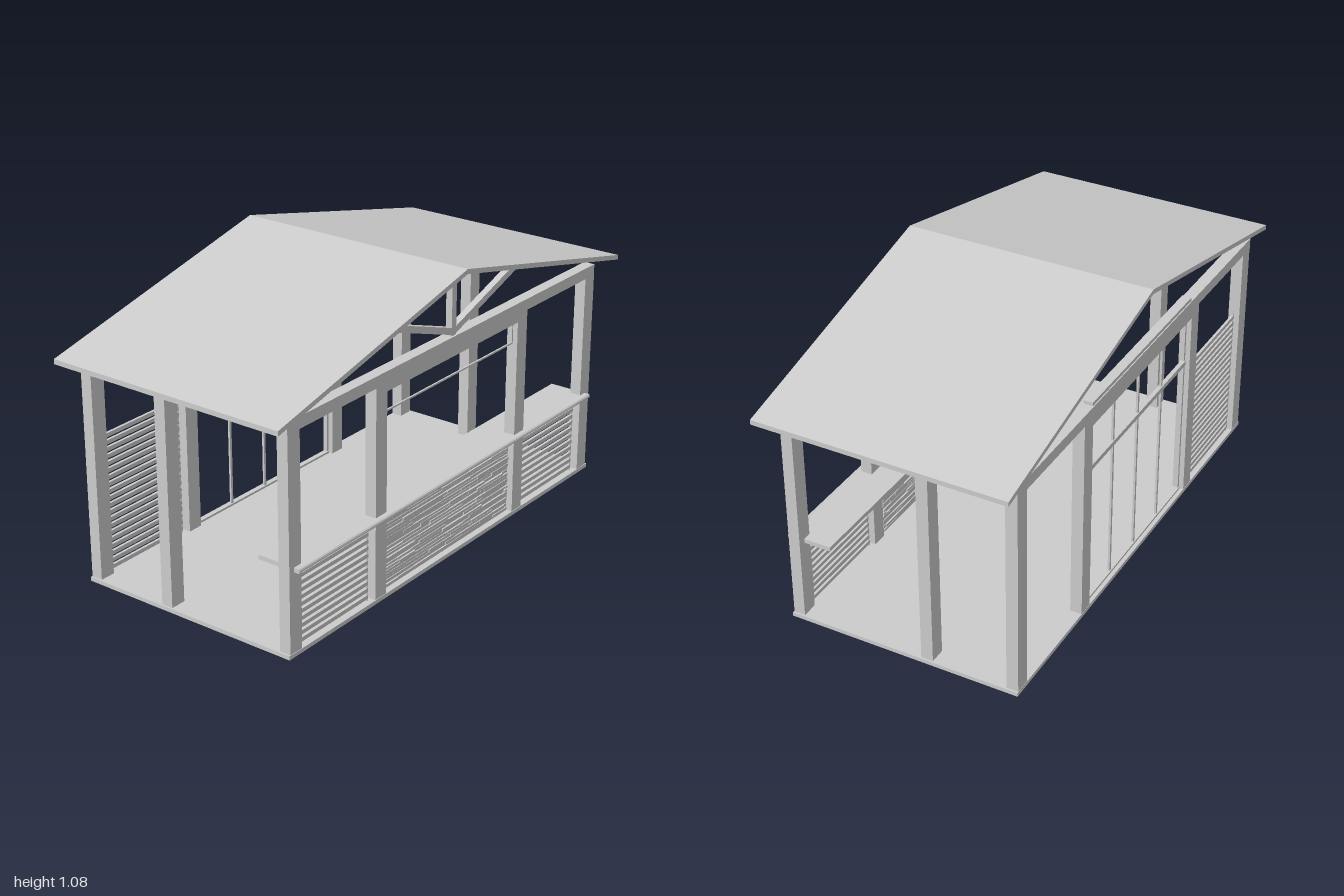
import * as THREE from 'three';

export function createModel() {
  const model = new THREE.Group();
  const mat = new THREE.MeshStandardMaterial({ color: 0xcccccc, flatShading: true });

  // Box given by its min and max on each axis
  const box = (name, x0, x1, y0, y1, z0, z1, parent = model) => {
    const m = new THREE.Mesh(new THREE.BoxGeometry(x1 - x0, y1 - y0, z1 - z0), mat);
    m.position.set((x0 + x1) / 2, (y0 + y1) / 2, (z0 + z1) / 2);
    m.name = name;
    parent.add(m);
    return m;
  };
  // Straight bar in the xy plane
  const bar = (name, ax, ay, bx, by, w, z0, z1) => {
    const len = Math.hypot(bx - ax, by - ay);
    const m = new THREE.Mesh(new THREE.BoxGeometry(len, w, z1 - z0), mat);
    m.position.set((ax + bx) / 2, (ay + by) / 2, (z0 + z1) / 2);
    m.rotation.z = Math.atan2(by - ay, bx - ax);
    m.name = name;
    model.add(m);
  };
  let seed = 7;
  const rand = () => (seed = (seed * 16807) % 2147483647) / 2147483647;

  box('floor', -0.91, 0.91, 0, 0.015, -0.45, 0.43);

  // Posts: four across the front, four across the back, two free-standing at the sides
  for (const s of [-1, 1]) {
    const post = (name, xc, w, top, z0, z1) =>
      box(name, s * xc - w / 2, s * xc + w / 2, 0.015, top, z0, z1);
    post('frontCornerPost', 0.873, 0.06, 0.8, 0.385, 0.428);
    post('backCornerPost', 0.873, 0.06, 0.8, -0.449, -0.405);
    post('frontInnerPost', 0.418, 0.06, 0.8, 0.385, 0.428);
    post('backInnerPost', 0.418, 0.06, 0.8, -0.449, -0.405);
    post('sidePost', 0.873, 0.06, 0.787, -0.125, -0.08);
  }

  // Long beams and the headers over the middle openings
  for (const [side, z0, z1] of [['front', 0.385, 0.428], ['back', -0.449, -0.405]]) {
    box(side + 'Beam', -0.905, 0.902, 0.79, 0.832, z0, z1);
    box(side + 'Header', -0.39, 0.39, 0.76, 0.79, z0, z1);
  }
  box('backTrack', -0.385, 0.385, 0.832, 0.845, -0.445, -0.41);

  // Gable roof with folded profile
  const t = 0.018;
  const profile = new THREE.Shape([[-1, 0.85], [-1, 0.85 - t], [0, 1.08 - t], [1, 0.85 - t], [1, 0.85], [0, 1.08]]
    .map(([x, y]) => new THREE.Vector2(x, y)));
  const roof = new THREE.Mesh(
    new THREE.ExtrudeGeometry(profile, { depth: 0.942, bevelEnabled: false }), mat);
  roof.position.z = -0.471;
  roof.name = 'roof';
  model.add(roof);

  // Front truss
  box('kingPost', -0.013, 0.013, 0.832, 1.065, 0.395, 0.42);
  for (const s of [-1, 1]) bar('trussBrace', 0, 0.845, s * 0.39, 0.978, 0.024, 0.395, 0.42);

  // Counter with a rounded nose
  box('counter', -0.88, 0.875, 0.307, 0.323, 0.282, 0.442);
  const nose = new THREE.Mesh(new THREE.CylinderGeometry(0.009, 0.009, 1.755, 10), mat);
  nose.rotation.z = Math.PI / 2;
  nose.position.set(-0.0025, 0.315, 0.443);
  nose.name = 'counterNose';
  model.add(nose);

  // Slatted panels
  const slats = (name, x0, x1, top, z) => {
    const g = new THREE.Group();
    g.name = name;
    for (let y = 0.022; y + 0.015 < top; y += 0.0262) box('slat', x0, x1, y, y + 0.015, z - 0.005, z + 0.005, g);
    for (const x of [x0 + 0.002, x1 - 0.006]) box('slatRail', x, x + 0.004, 0.015, top, z - 0.004, z + 0.004, g);
    model.add(g);
  };
  slats('frontLeftSlats', 0.46, 0.825, 0.307, 0.405);
  slats('frontRightSlats', -0.832, -0.465, 0.307, 0.405);
  slats('backSlats', -0.832, -0.465, 0.56, -0.427);

  // Counter front of short uneven planks over a backing
  const front = new THREE.Group();
  front.name = 'counterFront';
  model.add(front);
  box('backing', -0.385, 0.385, 0.015, 0.307, 0.395, 0.405, front);
  for (let y = 0.024; y < 0.295; y += 0.0125) {
    for (let x = -0.378; x < 0.37;) {
      const end = Math.min(0.378, x + 0.08 + rand() * 0.14);
      const d = rand() * 0.006, h = 0.008 + rand() * 0.004;
      box('plank', x, end, y, y + h, 0.393 - d, 0.407 + d, front);
      x = end;
    }
  }

  // Thin frame hanging in the serving opening
  for (const y of [0.675, 0.75]) box('servingRail', -0.388, 0.388, y, y + 0.006, 0.403, 0.409);
  for (const x of [-0.388, 0.382]) box('servingStile', x, x + 0.006, 0.675, 0.76, 0.403, 0.409);

  // Four open door panels at the back
  for (let i = -2; i <= 2; i++) {
    const x = i * 0.191;
    box('doorStile', x - 0.005, x + 0.005, 0.015, 0.76, -0.431, -0.423);
  }
  box('doorRail', -0.385, 0.385, 0.562, 0.58, -0.435, -0.419);
  box('doorTopRail', -0.385, 0.385, 0.748, 0.76, -0.435, -0.419);
  box('doorSill', -0.385, 0.385, 0.015, 0.023, -0.435, -0.419);

  return model;
}
